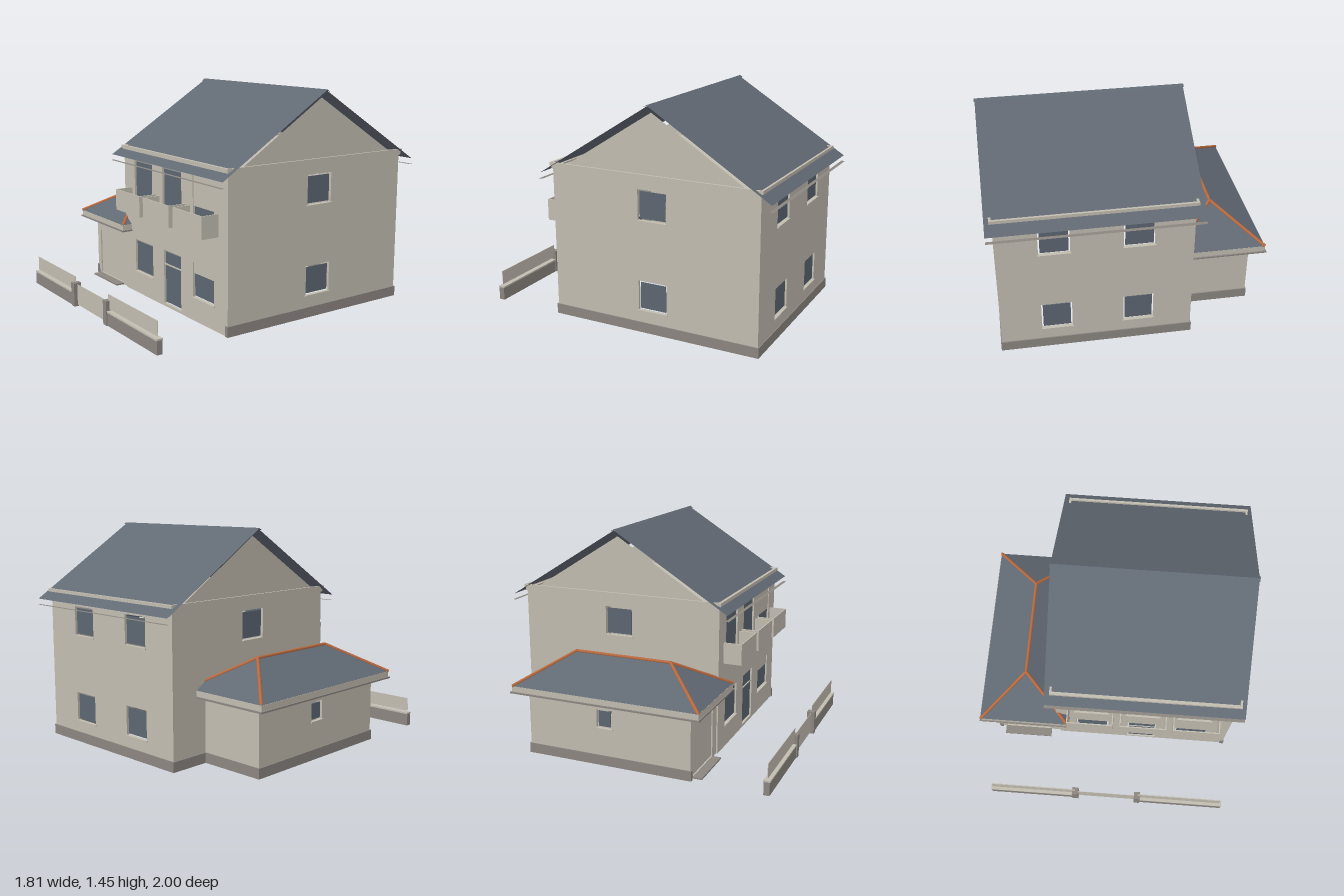
import * as THREE from 'three';

const mat = (name, color) => {
  const m = new THREE.MeshStandardMaterial({ color, side: THREE.DoubleSide });
  m.name = name;
  return m;
};

export function createModel() {
  const plaster = mat('plaster', 0xc1bcb0);
  const stone = mat('plinthStone', 0x8b8580);
  const slate = mat('roofSlate', 0x616973);
  const glassMat = mat('windowGlass', 0x5c6571);
  const clay = mat('clayRidge', 0xb86a40);

  const house = new THREE.Group();
  house.name = 'house';

  const add = (name, geo, material, parent = house) => {
    const mesh = new THREE.Mesh(geo, material);
    mesh.name = name;
    parent.add(mesh);
    return mesh;
  };

  // Box given by its limits on each axis
  const box = (name, x0, x1, y0, y1, z0, z1, material, parent = house) => {
    const mesh = add(name, new THREE.BoxGeometry(x1 - x0, y1 - y0, z1 - z0), material, parent);
    mesh.position.set((x0 + x1) / 2, (y0 + y1) / 2, (z0 + z1) / 2);
    return mesh;
  };

  // Flat sheet through corner points (three or four)
  const sheet = (name, pts, material) => {
    const geo = new THREE.BufferGeometry();
    geo.setAttribute('position', new THREE.Float32BufferAttribute(pts.flat(), 3));
    geo.setIndex(pts.length === 4 ? [0, 1, 2, 0, 2, 3] : [0, 1, 2]);
    geo.computeVertexNormals();
    return add(name, geo, material);
  };

  const rect = (T, a, b, c, d) => {
    const s = new T();
    s.moveTo(a, c);
    s.lineTo(b, c);
    s.lineTo(b, d);
    s.lineTo(a, d);
    s.closePath();
    return s;
  };

  // Wall facing the given angle, with openings [u0, u1, y0, y1, options]
  const wall = (name, angle, dist, u0, u1, h, openings = []) => {
    const g = new THREE.Group();
    g.name = name;
    g.rotation.y = angle;
    house.add(g);
    const shape = rect(THREE.Shape, u0, u1, 0, h);
    for (const [a, b, c, d] of openings) shape.holes.push(rect(THREE.Path, a, b, c, d));
    const geo = new THREE.ExtrudeGeometry(shape, { depth: 0.018, bevelEnabled: false });
    add('wallPanel', geo, plaster, g).position.z = dist - 0.018;
    for (const [a, b, c, d, o = {}] of openings) {
      const z0 = dist - 0.015, z1 = dist - 0.009;
      if (o.door) {
        box('garageDoor', a, b, c, d, z0, z1, plaster, g);
        continue;
      }
      const top = o.shutter ?? d - 0.012;
      const e = 0.01;
      if (o.shutter) box('rollerShutter', a, b, o.shutter, d, z0, z1 + 0.003, plaster, g);
      if (o.bar) {
        box('lowerGlass', a + e, b - e, c + e, o.bar - 0.005, z0, z1, glassMat, g);
        box('upperGlass', a + e, b - e, o.bar + 0.005, top, z0, z1, glassMat, g);
        box('transom', a, b, o.bar - 0.005, o.bar + 0.005, z0, dist - 0.004, plaster, g);
      } else {
        box('glass', a + e, b - e, c + e, top, z0, z1, glassMat, g);
      }
      if (c > 0.1) box('sill', a - 0.006, b + 0.006, c - 0.008, c, z0, dist + 0.008, plaster, g);
    }
  };

  // Main house walls
  const X0 = -0.36, X1 = 0.86, Z0 = -0.91, Z1 = 0.5, H = 1.0;
  const floors = [[0.147, 0.34], [0.732, 0.925]];
  wall('frontWall', 0, Z1, X0, X1, H, [
    [-0.225, 0.005, 0.155, 0.38],
    [0.145, 0.35, 0.02, 0.385, { bar: 0.29 }],
    [0.49, 0.72, 0.155, 0.38, { shutter: 0.31 }],
    [-0.225, 0.005, 0.595, 0.935],
    [0.135, 0.36, 0.595, 0.935],
    [0.49, 0.72, 0.595, 0.935, { shutter: 0.74 }],
  ]);
  wall('backWall', Math.PI, -Z0, -X1, -X0, H,
    floors.flatMap(([c, d]) => [[-0.6, -0.405, c, d], [-0.08, 0.115, c, d]]));
  wall('leftWall', Math.PI / 2, X1, -Z1, -Z0, H, floors.map(([c, d]) => [0.11, 0.305, c, d]));
  wall('rightWall', -Math.PI / 2, -X0, Z0, Z1, H, floors.map(([c, d]) => [-0.305, -0.11, c, d]));
  box('ceiling', X0 + 0.02, X1 - 0.02, 0.98, 0.99, Z0 + 0.02, Z1 - 0.02, plaster);

  // Cornice ring at the top of the walls, two steps
  for (const [out, y0, y1] of [[0.015, 1.002, 1.023], [0.008, 0.982, 1.002]]) {
    for (const [a, b] of [[X0 - out, X0], [X1, X1 + out]])
      box('sideCornice', a, b, y0, y1, Z0 - out, Z1 + out, plaster);
    for (const [a, b] of [[Z0 - out, Z0], [Z1 - 0.005, Z1 + out]])
      box('eaveCornice', X0 - out, X1 + out, y0, y1, a, b, plaster);
  }

  // Gables, roof slopes, ridge cap and gutters
  const RZ = -0.21, RX0 = -0.41, RX1 = 0.903;
  for (const x of [X0 + 0.002, X1 - 0.002])
    sheet('gable', [[x, 0.99, 0.44], [x, 0.99, -0.86], [x, 1.398, RZ]], plaster);
  for (const s of [1, -1]) {
    const eave = RZ + s * 0.78;
    sheet('roofSlope', [[RX0, 0.956, eave], [RX1, 0.956, eave], [RX1, 1.443, RZ], [RX0, 1.443, RZ]], slate);
    sheet('ridgeCap', [[RX0 - 0.004, 1.437, RZ + s * 0.022], [RX1 + 0.004, 1.437, RZ + s * 0.022],
      [RX1 + 0.004, 1.45, RZ], [RX0 - 0.004, 1.45, RZ]], slate);
    const g0 = eave - s * 0.015, g1 = eave + s * 0.01;
    sheet('gutter', [[RX0, 0.917, g0], [RX1, 0.917, g0], [RX1, 0.917, g1], [RX0, 0.917, g1]], stone);
  }

  // Balconies: three thin panels each
  for (const x of [-0.27, 0.09, 0.45]) {
    const b = x + 0.315;
    box('balconyFront', x, b, 0.597, 0.738, 0.615, 0.623, plaster);
    box('balconySide', x, x + 0.008, 0.597, 0.738, Z1, 0.615, plaster);
    box('balconySide', b - 0.008, b, 0.597, 0.738, Z1, 0.615, plaster);
  }

  // Garage walls
  const GX = -0.81, GZ0 = -0.64, GZ1 = 0.49;
  wall('garageFront', 0, GZ1, GX, X0, 0.437, [[-0.765, -0.43, 0.012, 0.335, { door: true }]]);
  wall('garageBack', Math.PI, -GZ0, -X0, -GX, 0.437);
  wall('garageSide', -Math.PI / 2, -GX, GZ0, GZ1, 0.437, [[-0.15, -0.045, 0.25, 0.375]]);
  box('garageStep', -0.77, -0.425, 0, 0.01, GZ1, 0.55, stone);

  // Garage eaves and hipped roof
  box('garageSoffit', -0.903, -0.268, 0.428, 0.438, -0.725, 0.578, stone);
  box('garageFascia', -0.893, -0.277, 0.438, 0.474, -0.715, 0.57, plaster);
  const [a, b, c, d] = [[-0.893, 0.57], [-0.277, 0.57], [-0.277, -0.715], [-0.893, -0.715]]
    .map(([x, z]) => [x, 0.475, z]);
  const rf = [-0.585, 0.665, 0.262], rb = [-0.585, 0.665, -0.407];
  sheet('garageHipFront', [a, b, rf], slate);
  sheet('garageHipBack', [c, d, rb], slate);
  sheet('garageSlopeLeft', [b, c, rb, rf], slate);
  sheet('garageSlopeRight', [d, a, rf, rb], slate);
  for (const [p, q] of [[rf, rb], [a, rf], [b, rf], [c, rb], [d, rb]]) {
    const line = new THREE.LineCurve3(new THREE.Vector3(...p), new THREE.Vector3(...q));
    add('hipTiles', new THREE.TubeGeometry(line, 1, 0.011, 8), clay);
  }

  // Plinth round the house and garage
  const P = 0.066, o = 0.007;
  box('plinthLeft', X1 - 0.018, X1 + o, 0, P, Z0 - o, Z1 + o, stone);
  box('plinthBack', X0 - o, X1, 0, P, Z0 - o, Z0 + 0.018, stone);
  box('plinthRight', X0 - o, X0 + 0.018, 0, P, Z0, GZ0, stone);
  box('garagePlinthBack', GX - o, X0, 0, P, GZ0 - o, GZ0 + 0.018, stone);
  box('garagePlinthSide', GX - o, GX + 0.018, 0, P, GZ0, GZ1 + o, stone);

  // Front fence: low walls with caps and panels, posts and a gate
  for (const [x0, x1, p0, p1] of [[-0.815, -0.2, -0.8, -0.2], [0.25, 0.86, 0.25, 0.843]]) {
    box('fenceBase', x0, x1, 0, 0.085, 0.955, 0.993, stone);
    box('fenceCap', x0, x1, 0.085, 0.095, 0.952, 0.996, plaster);
    box('fencePanel', p0, p1, 0.104, 0.198, 0.973, 0.976, plaster);
  }
  for (const x of [-0.222, 0.226]) box('gatePost', x, x + 0.043, 0, 0.158, 0.948, 1, stone);
  box('gate', -0.18, 0.227, 0.01, 0.15, 0.973, 0.976, plaster);

  return house;
}
